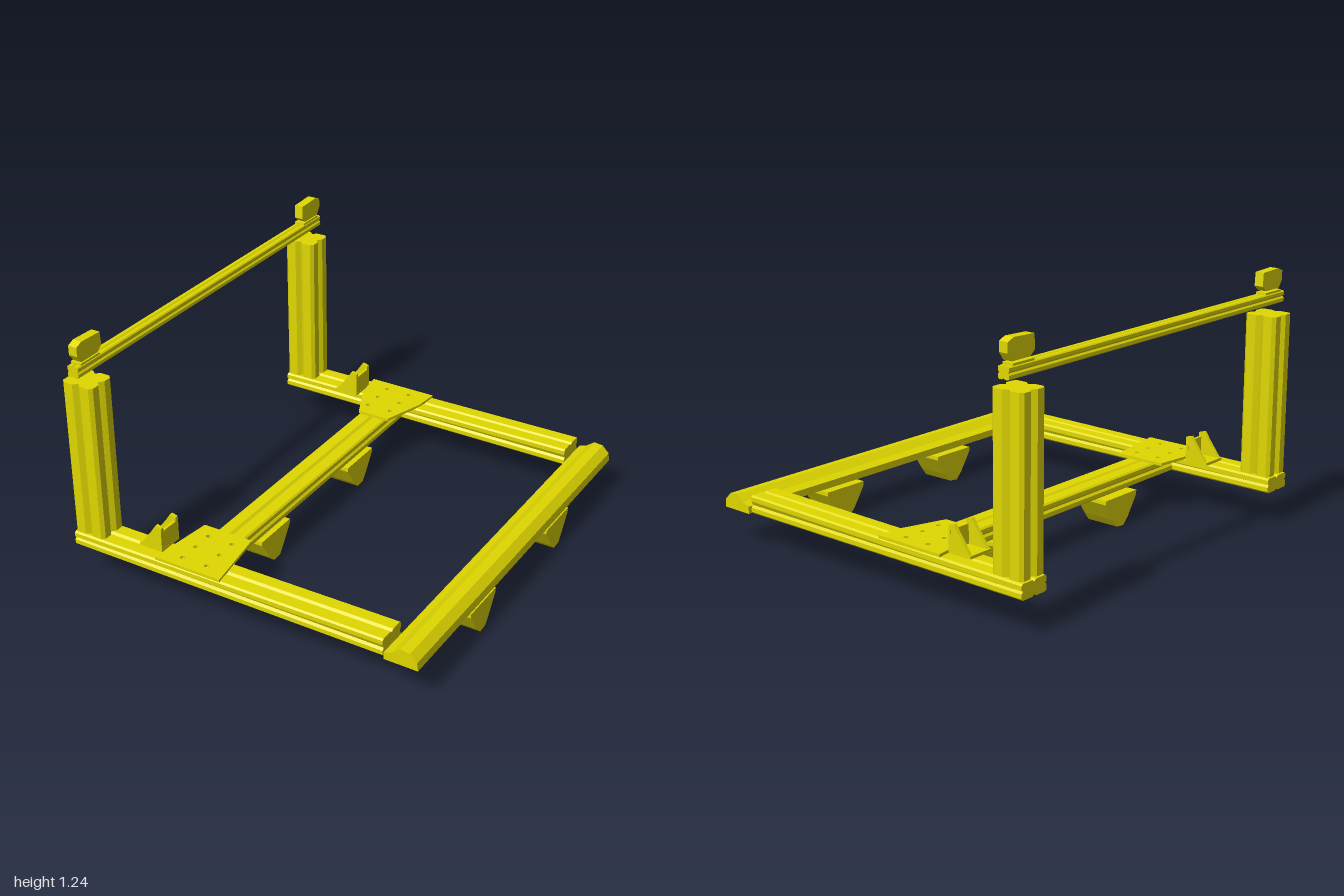
import * as THREE from 'three';

const paint = new THREE.MeshStandardMaterial({ color: 0xe0d800, flatShading: true, side: THREE.DoubleSide });

const outline = (pts) => new THREE.Shape(pts.map(([x, y]) => new THREE.Vector2(x, y)));

// Prism of the given outline, centred on its depth
function prism(shape, depth) {
  const g = new THREE.ExtrudeGeometry(shape, { depth, bevelEnabled: false, curveSegments: 3 });
  return g.translate(0, 0, -depth / 2);
}

// Slotted bar section: chamfered corners, shallow V groove on each side
function barSection(w, h) {
  const a = w / 2, b = h / 2, c = Math.min(w, h) * 0.1;
  const g = Math.min(w, h) * 0.14, d = Math.min(w, h) * 0.12;
  return outline([
    [-a + c, -b], [-g, -b], [0, -b + d], [g, -b], [a - c, -b], [a, -b + c],
    [a, -g], [a - d, 0], [a, g], [a, b - c],
    [a - c, b], [g, b], [0, b - d], [-g, b], [-a + c, b], [-a, b - c],
    [-a, g], [-a + d, 0], [-a, -g], [-a, -b + c],
  ]);
}

export function createModel() {
  const model = new THREE.Group();
  const add = (name, geometry, x = 0, y = 0, z = 0, parent = model) => {
    const m = new THREE.Mesh(geometry, paint);
    m.name = name;
    m.position.set(x, y, z);
    parent.add(m);
    return m;
  };

  // Cross members running front to back
  add('endBeam', prism(outline([
    [0.74, 0.17], [0.905, 0.17], [0.9, 0.21], [0.865, 0.245], [0.82, 0.25], [0.78, 0.22], [0.74, 0.205],
  ]), 1.98));
  add('middleBeam', prism(barSection(0.15, 0.075), 1.7), -0.275, 0.21, 0);
  add('topBar', prism(barSection(0.058, 0.055), 1.98), -0.823, 1.102, 0);

  for (const s of [1, -1]) {
    const side = s > 0 ? 'front' : 'back';

    // Long rail, slightly taller towards the end beam
    const rail = prism(barSection(0.155, 0.08), 1.64).rotateY(Math.PI / 2);
    const p = rail.attributes.position;
    for (let i = 0; i < p.count; i++) {
      if (p.getY(i) > 0) p.setY(i, p.getY(i) + 0.008 * (p.getX(i) / 0.82));
    }
    rail.computeVertexNormals();
    add(side + 'Rail', rail, -0.09, 0.212, s * 0.903);

    // Upright post
    add(side + 'Post', prism(barSection(0.165, 0.15), 0.78).rotateX(Math.PI / 2), -0.825, 0.64, s * 0.903);

    // Clamp above the top bar, with its thin foot
    add(side + 'TopClamp', prism(outline([
      [0.82, 1.17], [0.85, 1.145], [0.96, 1.145], [0.985, 1.18], [0.985, 1.225], [0.95, 1.24], [0.825, 1.235],
    ].map(([z, y]) => [-s * z, y])), 0.045).rotateY(Math.PI / 2), -0.818);
    add(side + 'ClampFoot', new THREE.BoxGeometry(0.055, 0.01, 0.13), -0.823, 1.134, s * 0.9);

    // Joining plate with screw holes
    const edge = s > 0
      ? [[-0.45, 0.98], [-0.1, 0.98], [-0.15, 0.65], [-0.41, 0.65]]
      : [[-0.46, 0.98], [-0.1, 0.98], [-0.11, 0.86], [-0.18, 0.64], [-0.35, 0.64], [-0.44, 0.84]];
    const plate = outline(edge.map(([x, z]) => [x, -s * z]));
    for (const x of [-0.34, -0.21]) {
      for (const z of [0.72, 0.82, 0.92]) {
        plate.holes.push(new THREE.Path().absarc(x, -s * z, 0.013, 0, Math.PI * 2, true));
      }
    }
    add(side + 'JoiningPlate', prism(plate, 0.014).rotateX(-Math.PI / 2), 0, 0.256, 0);

    // Corner bracket: base, upright wall and two cheeks
    const bracket = new THREE.Group();
    bracket.name = side + 'CornerBracket';
    bracket.position.z = s * 0.855;
    model.add(bracket);
    add('bracketBase', new THREE.BoxGeometry(0.125, 0.014, 0.13), -0.517, 0.258, 0, bracket);
    add('bracketWall', new THREE.BoxGeometry(0.014, 0.1, 0.13), -0.462, 0.305, 0, bracket);
    for (const z of [-0.055, 0.055]) {
      add('bracketCheek', prism(outline([
        [-0.58, 0.252], [-0.455, 0.252], [-0.455, 0.375], [-0.485, 0.383], [-0.51, 0.345],
      ]), 0.018), 0, 0, z, bracket);
    }

    // Tapered feet hung under the middle beam and the end beam
    for (const [name, x] of [['MiddleFoot', -0.28], ['EndFoot', 0.815]]) {
      const foot = prism(outline([
        [-0.12, 0.155], [-0.12, 0.135], [-0.055, 0.035], [-0.02, 0], [0.03, 0.005], [0.06, 0.045], [0.12, 0.135], [0.12, 0.155],
      ]), 0.175).rotateY(Math.PI / 2);
      add(side + name, foot, x, 0, s * 0.387);
    }
  }
  return model;
}
